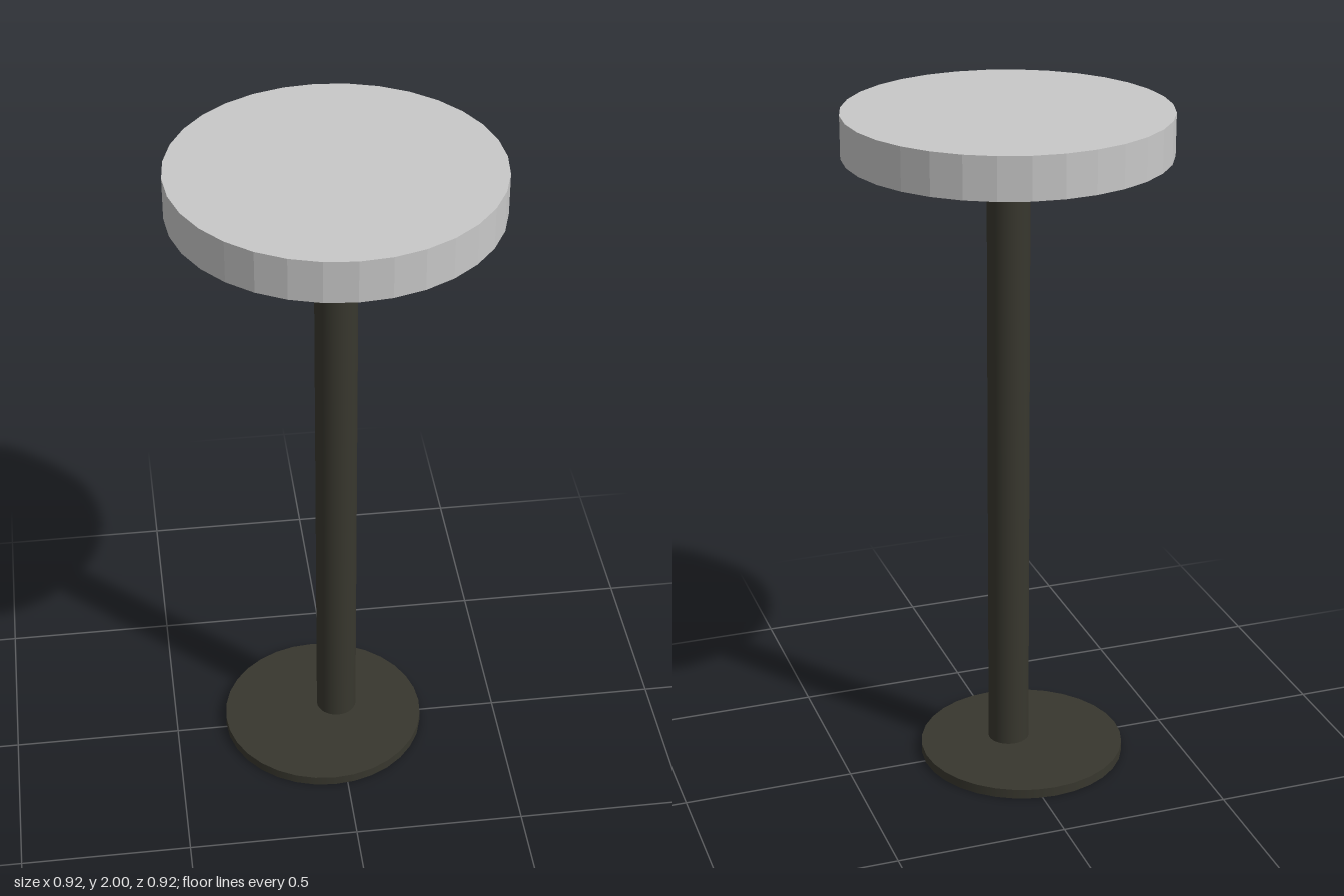
import * as THREE from 'three';

export function createModel() {
  const model = new THREE.Group();
  model.name = 'barStool';

  const seatGrey = new THREE.MeshStandardMaterial({ color: 0xc8c8c8 });
  seatGrey.name = 'light grey';
  const darkMetal = new THREE.MeshStandardMaterial({ color: 0x38372e });
  darkMetal.name = 'dark metal';

  // Upright disc or rod between two heights
  function addRound(name, material, radius, bottom, top, x, z, faceted) {
    let geometry = new THREE.CylinderGeometry(radius, radius, top - bottom, 32);
    if (faceted) {
      geometry = geometry.toNonIndexed();
      geometry.computeVertexNormals();
    }
    const mesh = new THREE.Mesh(geometry, material);
    mesh.name = name;
    mesh.position.set(x, (bottom + top) / 2, z);
    model.add(mesh);
  }

  // Thick faceted seat
  addRound('seat', seatGrey, 0.462, 1.878, 2, 0, 0, true);
  // Slim post, slightly off centre, stopping just above the base
  addRound('post', darkMetal, 0.061, 0.053, 1.88, 0.003, -0.015, false);
  // Thin base plate, shifted to one side
  addRound('base', darkMetal, 0.306, 0, 0.029, -0.04, -0.012, false);

  return model;
}
